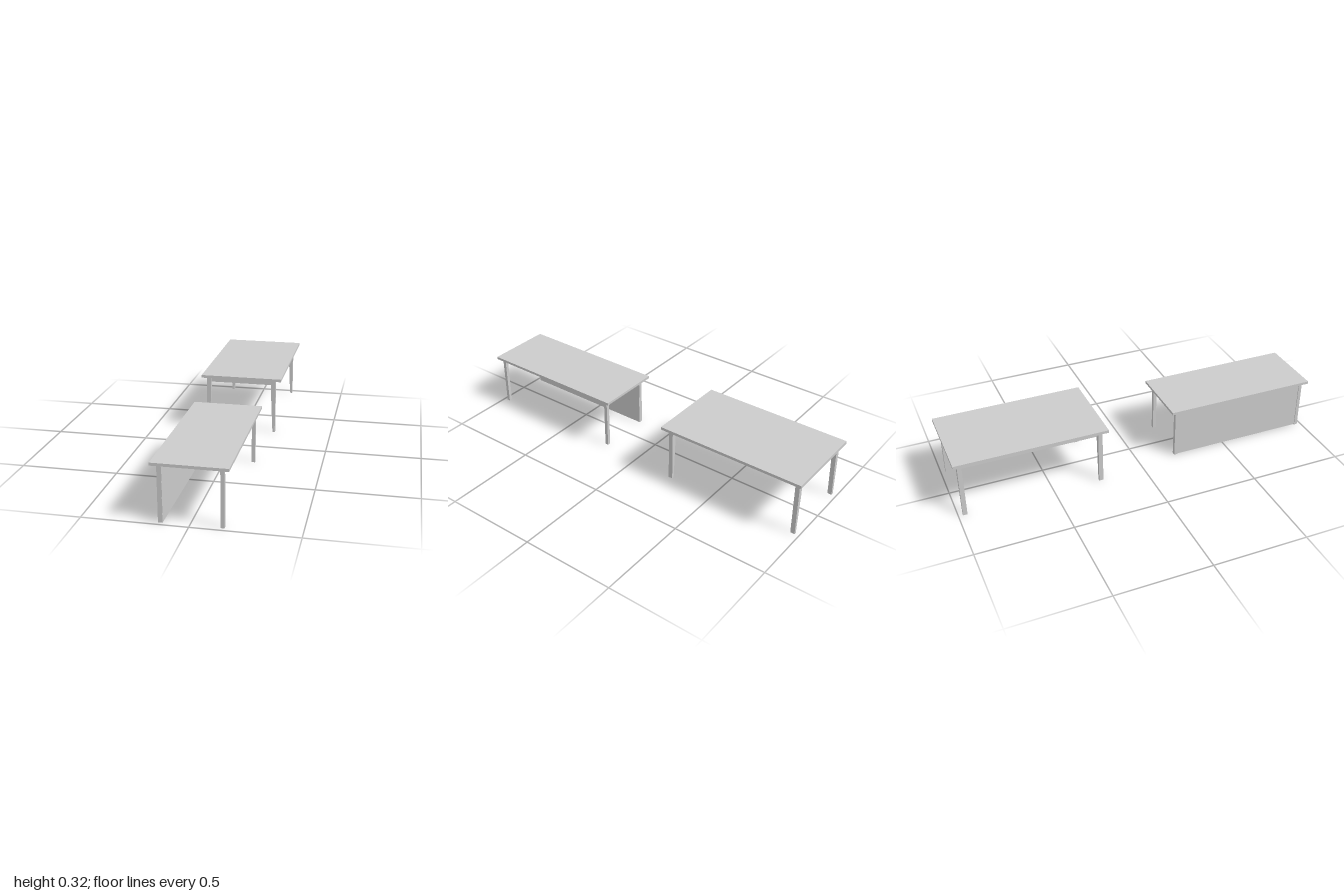
import * as THREE from 'three';

const material = new THREE.MeshStandardMaterial({ color: 0xcccccc, flatShading: true });

// Box given by its extents along each axis
function slab(name, [x0, x1], [y0, y1], [z0, z1]) {
  const mesh = new THREE.Mesh(new THREE.BoxGeometry(x1 - x0, y1 - y0, z1 - z0), material);
  mesh.position.set((x0 + x1) / 2, (y0 + y1) / 2, (z0 + z1) / 2);
  mesh.name = name;
  return mesh;
}

// Leg with a straight outer side and an inner side that tapers to the foot
function taperedLeg(name, side, z0, depth) {
  const outer = 0.195 * side, inner = 0.171 * side, foot = 0.182 * side;
  const shape = new THREE.Shape([
    [outer, 0], [foot, 0], [inner, 0.22], [inner, 0.305], [outer, 0.305],
  ].map(([x, y]) => new THREE.Vector2(x, y)));
  const leg = new THREE.Mesh(
    new THREE.ExtrudeGeometry(shape, { depth, bevelEnabled: false }), material);
  leg.position.z = z0;
  leg.name = name;
  return leg;
}

// Rear table: wide top, apron frame, four tapered legs
function createTable() {
  const table = new THREE.Group();
  table.name = 'taperedLegTable';
  table.add(slab('tableTop', [-0.219, 0.229], [0.305, 0.32], [-1, -0.205]));
  for (const side of [-1, 1]) {
    const name = side > 0 ? 'left' : 'right';
    table.add(taperedLeg(name + 'FrontLeg', side, -0.254, 0.023));
    table.add(taperedLeg(name + 'BackLeg', side, -0.977, 0.023));
    const xs = [0.17 * side, 0.183 * side].sort((a, b) => a - b);
    table.add(slab(name + 'Apron', xs, [0.272, 0.305], [-0.955, -0.253]));
  }
  table.add(slab('frontApron', [-0.172, 0.172], [0.275, 0.305], [-0.25, -0.238]));
  table.add(slab('backApron', [-0.172, 0.172], [0.275, 0.305], [-0.97, -0.958]));
  table.position.x = -0.006;
  return table;
}

// Front desk: narrow top, square legs, solid panel along one long side
function createDesk() {
  const desk = new THREE.Group();
  desk.name = 'panelDesk';
  desk.add(slab('deskTop', [-0.172, 0.182], [0.279, 0.293], [0.175, 1]));
  for (const [end, zs] of [['Front', [0.962, 0.98]], ['Back', [0.205, 0.223]]]) {
    desk.add(slab('left' + end + 'DeskLeg', [0.139, 0.157], [0, 0.279], zs));
    desk.add(slab('right' + end + 'DeskLeg', [-0.145, -0.124], [0, 0.279], zs));
  }
  desk.add(slab('sidePanel', [-0.141, -0.123], [0.001, 0.279], [0.206, 0.979]));
  return desk;
}

export function createModel() {
  const model = new THREE.Group();
  model.name = 'tableAndDesk';
  model.add(createTable(), createDesk());
  return model;
}
